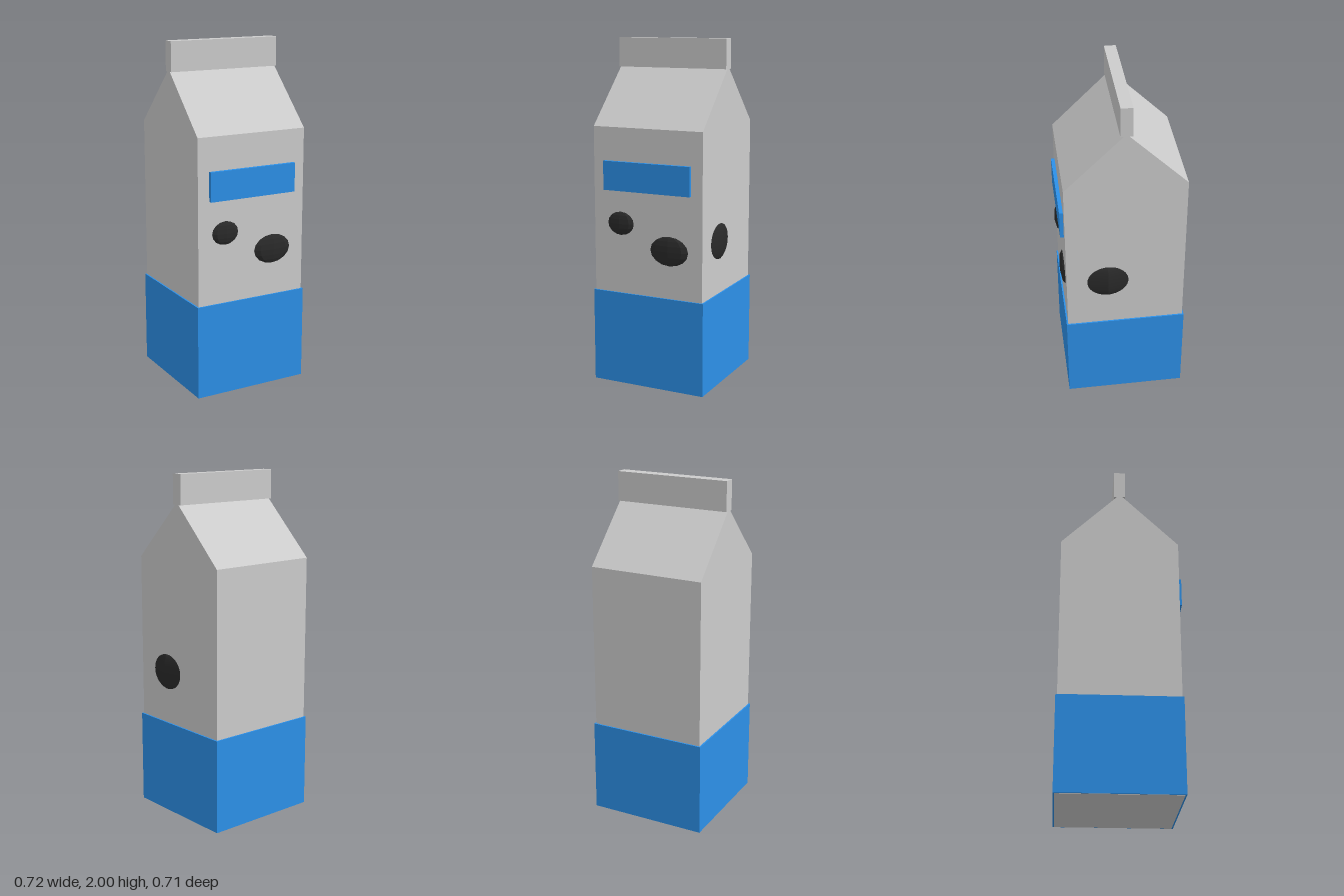
import * as THREE from 'three';

export function createModel() {
  const model = new THREE.Group();
  const card = new THREE.MeshStandardMaterial({ color: 0xcccccc, flatShading: true });
  const blue = new THREE.MeshStandardMaterial({ color: 0x2c90e8, flatShading: true });
  const dark = new THREE.MeshStandardMaterial({ color: 0x2a2a2a, flatShading: true });
  const cx = -0.009, cz = -0.008; // carton axis
  const half = 0.341;

  function add(name, geometry, material, x, y, z) {
    const mesh = new THREE.Mesh(geometry, material);
    mesh.name = name;
    mesh.position.set(x, y, z);
    model.add(mesh);
    return mesh;
  }

  // Gabled carton: house-shaped profile extruded across the width
  const profile = new THREE.Shape([
    [-half, 0], [half, 0], [half, 1.51], [0, 1.845], [-half, 1.51],
  ].map(([x, y]) => new THREE.Vector2(x, y)));
  const body = new THREE.ExtrudeGeometry(profile, { depth: half * 2, bevelEnabled: false });
  body.translate(0, 0, -half).rotateY(Math.PI / 2);
  add('cartonBody', body, card, cx, 0, cz);

  // Sealed fin on the ridge
  add('topFin', new THREE.BoxGeometry(half * 2, 0.17, 0.067), card, cx, 1.915, cz - 0.001);

  // Coloured band around the base, and the front label
  add('baseBand', new THREE.BoxGeometry(0.7, 0.548, 0.7), blue, cx, 0.276, cz);
  add('frontLabel', new THREE.BoxGeometry(0.542, 0.168, 0.04), blue, cx, 1.234, 0.334);

  // Flattened spots half sunk into the walls
  function spot(name, segments, x, y, z, rx, ry, rz) {
    add(name, new THREE.SphereGeometry(1, ...segments), dark, x, y, z).scale.set(rx, ry, rz);
  }
  spot('smallFrontSpot', [8, 8], -0.18, 0.96, 0.333, 0.083, 0.068, 0.023);
  spot('largeFrontSpot', [8, 8], 0.127, 0.826, 0.333, 0.118, 0.085, 0.023);
  spot('sideSpot', [4, 24], 0.332, 0.858, 0.095, 0.025, 0.103, 0.119);

  return model;
}
